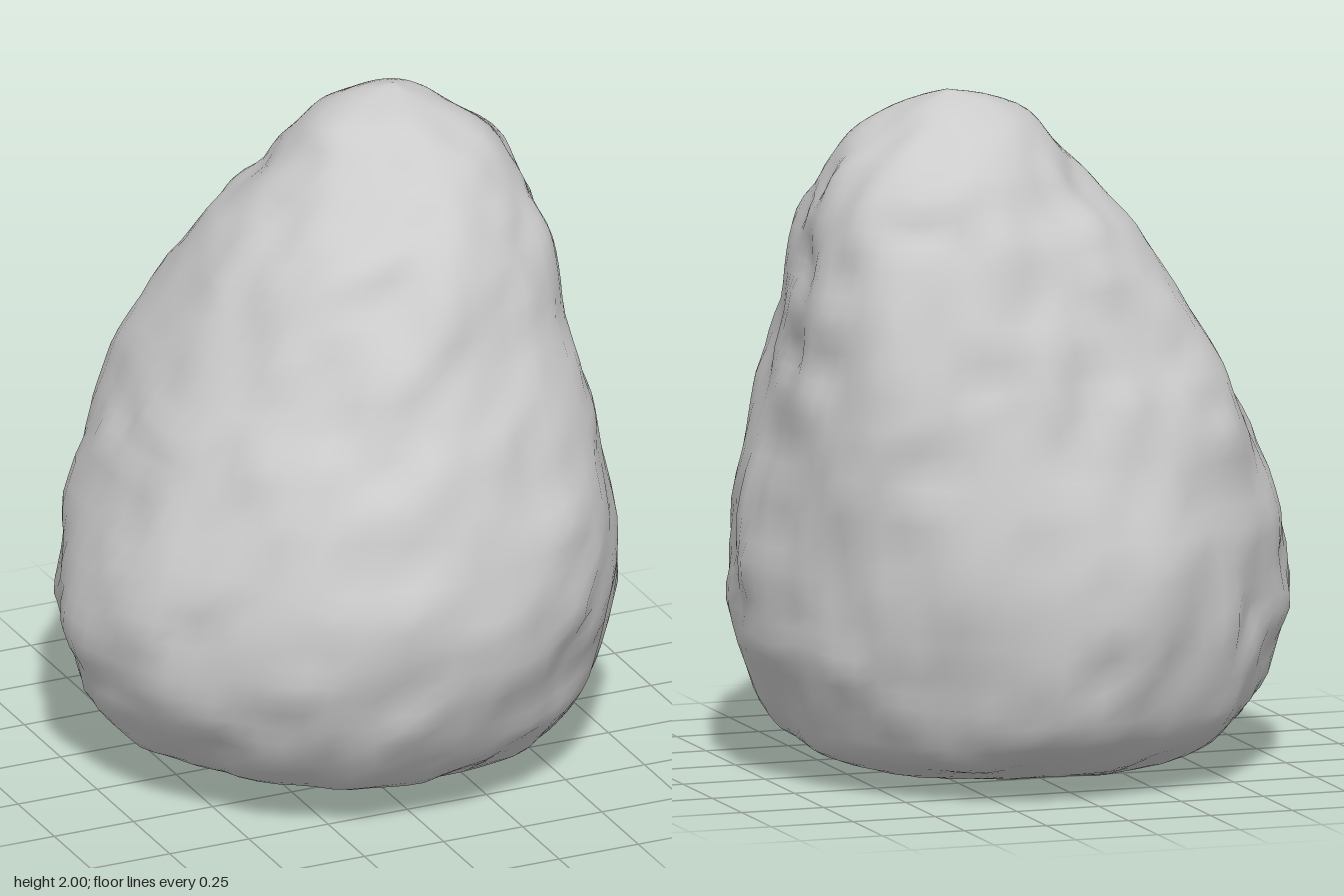
import * as THREE from 'three';

// Cross-sections from base to tip: height, then the reach along eight compass
// directions, starting at +x and turning towards +z.
const SECTIONS = [
  [0.01, 0.05, 0.035, 0, -0.035, -0.05, -0.035, 0, 0.035],
  [0.02, 0.34, 0.32, 0.27, 0.24, 0.26, 0.27, 0.33, 0.34],
  [0.09, 0.62, 0.58, 0.5, 0.48, 0.57, 0.57, 0.6, 0.63],
  [0.2, 0.71, 0.68, 0.67, 0.66, 0.69, 0.71, 0.75, 0.74],
  [0.43, 0.79, 0.79, 0.78, 0.78, 0.81, 0.77, 0.82, 0.82],
  [0.7, 0.80, 0.82, 0.83, 0.78, 0.78, 0.78, 0.83, 0.84],
  [1.0, 0.73, 0.77, 0.73, 0.67, 0.65, 0.73, 0.73, 0.84],
  [1.2, 0.69, 0.71, 0.63, 0.57, 0.57, 0.66, 0.67, 0.82],
  [1.45, 0.65, 0.62, 0.52, 0.43, 0.40, 0.51, 0.59, 0.76],
  [1.65, 0.61, 0.54, 0.41, 0.29, 0.27, 0.37, 0.51, 0.68],
  [1.82, 0.52, 0.43, 0.26, 0.12, 0.12, 0.22, 0.41, 0.54],
  [1.94, 0.36, 0.27, 0.11, -0.03, -0.01, 0.1, 0.25, 0.38],
  [2.0, 0.23, 0.09, -0.1, -0.233, -0.23, -0.09, 0.1, 0.233],
];
const AROUND = 72;
const STEPS = 5;

function spline(a, b, c, d, t) {
  return b + 0.5 * t * (c - a + t * (2 * a - 5 * b + 4 * c - d + t * (3 * (b - c) + d - a)));
}

// Seeded smooth noise in the range -1 to 1
function hash(x, y, z) {
  const s = Math.sin(x * 127.1 + y * 311.7 + z * 74.7 + 5.3) * 43758.5453;
  return (s - Math.floor(s)) * 2 - 1;
}

function noise(x, y, z) {
  const ix = Math.floor(x), iy = Math.floor(y), iz = Math.floor(z);
  const fade = (t) => t * t * (3 - 2 * t);
  const u = fade(x - ix), v = fade(y - iy), w = fade(z - iz);
  let sum = 0;
  for (let i = 0; i < 8; i++) {
    const a = i & 1, b = (i >> 1) & 1, c = i >> 2;
    sum += hash(ix + a, iy + b, iz + c) * (a ? u : 1 - u) * (b ? v : 1 - v) * (c ? w : 1 - w);
  }
  return sum;
}

// Section interpolated between the listed ones
function sectionAt(t) {
  const last = SECTIONS.length - 1;
  const i = Math.min(Math.floor(t), last - 1);
  const row = (k) => SECTIONS[Math.max(0, Math.min(last, k))];
  return SECTIONS[0].map((_, k) =>
    spline(row(i - 1)[k], row(i)[k], row(i + 1)[k], row(i + 2)[k], t - i));
}

function rockPoint([y, ...reach], angle) {
  const cx = (reach[0] - reach[4]) / 2;
  const cz = (reach[2] - reach[6]) / 2;
  const radius = (k) => {
    const a = (k % 8) * Math.PI / 4;
    return reach[k % 8] - cx * Math.cos(a) - cz * Math.sin(a);
  };
  const s = angle / (Math.PI / 4);
  const k = Math.floor(s);
  const r = spline(radius(k + 7), radius(k), radius(k + 1), radius(k + 2), s - k);
  const p = new THREE.Vector3(cx + r * Math.cos(angle), y, cz + r * Math.sin(angle));

  // Broad lumps and finer chips, fading towards both ends
  const lump = 0.012 * noise(p.x * 5, p.y * 4.5, p.z * 5)
    + 0.022 * noise(p.x * 9 + 7, p.y * 8, p.z * 9);
  const push = lump * Math.min(1, r / 0.4);
  const lift = 0.02 * noise(p.x * 7 + 3, p.y * 7, p.z * 7) * Math.min(1, r / 0.3);
  p.x += push * Math.cos(angle);
  p.z += push * Math.sin(angle);
  p.y = Math.max(0, p.y + lift);
  return p;
}

function rockGeometry() {
  const rings = (SECTIONS.length - 1) * STEPS;
  const points = [new THREE.Vector3(0.05, 0.01, 0)];
  for (let j = 1; j < rings; j++) {
    const section = sectionAt(j / STEPS);
    for (let i = 0; i < AROUND; i++) points.push(rockPoint(section, i / AROUND * Math.PI * 2));
  }
  const tip = points.push(new THREE.Vector3(0.23, 2, -0.1)) - 1;

  const index = [];
  const at = (j, i) => 1 + (j - 1) * AROUND + (i % AROUND);
  for (let i = 0; i < AROUND; i++) {
    index.push(0, at(1, i), at(1, i + 1));
    for (let j = 1; j < rings - 1; j++) {
      const a = at(j, i), b = at(j, i + 1), c = at(j + 1, i), d = at(j + 1, i + 1);
      index.push(a, c, b, b, c, d);
    }
    index.push(at(rings - 1, i), tip, at(rings - 1, i + 1));
  }

  const geometry = new THREE.BufferGeometry().setFromPoints(points);
  geometry.setIndex(index);
  geometry.computeVertexNormals();
  return geometry;
}

export function createModel() {
  const group = new THREE.Group();
  group.name = 'boulder';
  const rock = new THREE.Mesh(rockGeometry(), new THREE.MeshStandardMaterial({ color: 0xcccccc }));
  rock.name = 'rock';
  group.add(rock);
  return group;
}
